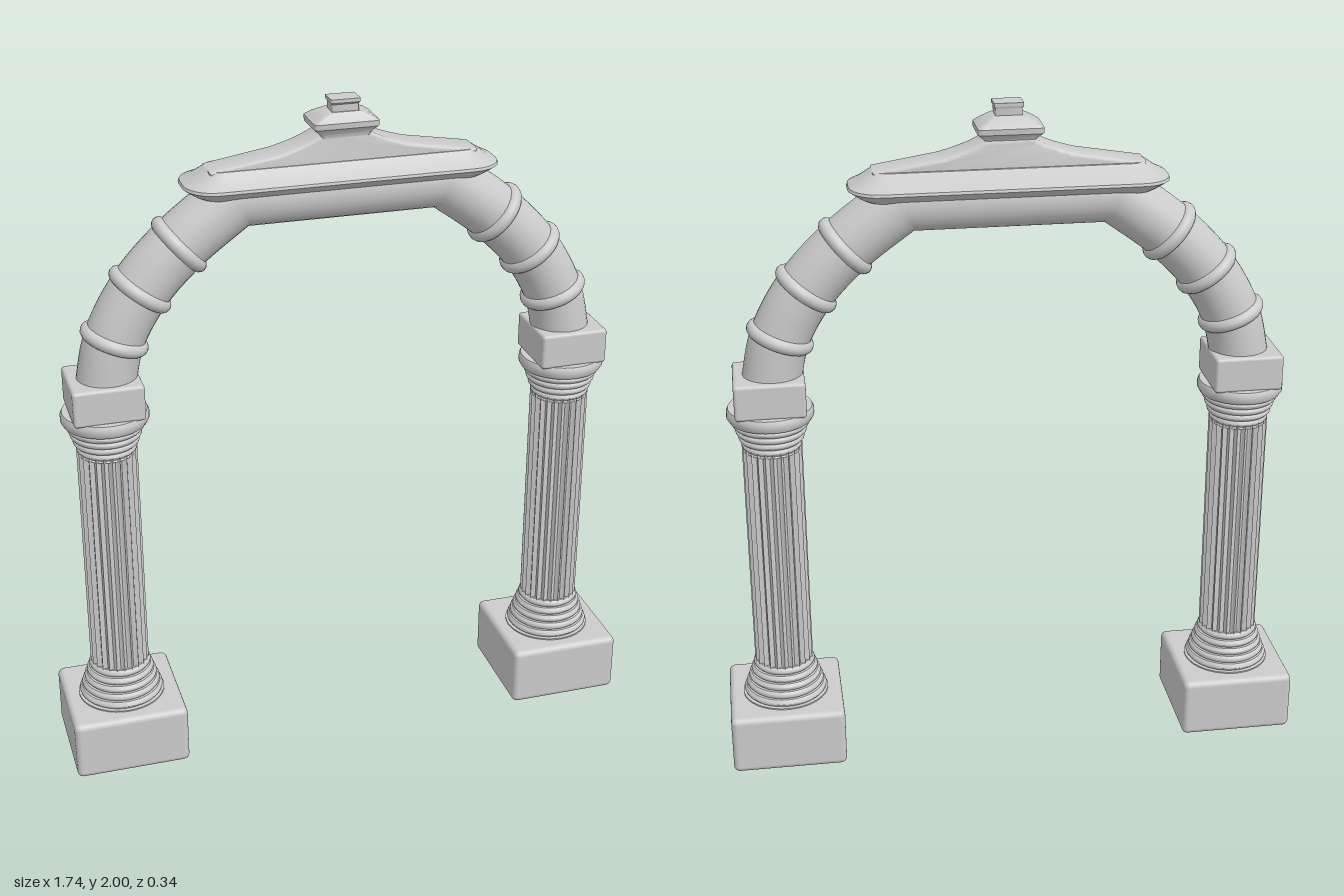
import * as THREE from 'three';
import { toCreasedNormals } from 'three/addons/utils/BufferGeometryUtils.js';
import { RoundedBoxGeometry } from 'three/addons/geometries/RoundedBoxGeometry.js';

const grey = new THREE.MeshStandardMaterial({ color: 0xcccccc });

function add(parent, name, geometry, x = 0, y = 0, z = 0) {
  const mesh = new THREE.Mesh(geometry, grey);
  mesh.name = name;
  mesh.position.set(x, y, z);
  parent.add(mesh);
  return mesh;
}

// Skin a stack of equal-sized rings of Vector3 and close both ends
function loft(rings, crease = 0.6) {
  const n = rings[0].length, pos = [];
  const tri = (...pts) => pts.forEach((p) => pos.push(p.x, p.y, p.z));
  for (let i = 0; i < rings.length - 1; i++) {
    for (let j = 0; j < n; j++) {
      const k = (j + 1) % n, lo = rings[i], hi = rings[i + 1];
      tri(lo[j], hi[j], lo[k]);
      tri(lo[k], hi[j], hi[k]);
    }
  }
  const middle = (r) => r.reduce((s, p) => s.add(p), new THREE.Vector3()).divideScalar(n);
  const first = rings[0], last = rings[rings.length - 1];
  const c0 = middle(first), c1 = middle(last);
  for (let j = 0; j < n; j++) {
    const k = (j + 1) % n;
    tri(c0, first[j], first[k]);
    tri(c1, last[k], last[j]);
  }
  const g = new THREE.BufferGeometry();
  g.setAttribute('position', new THREE.Float32BufferAttribute(pos, 3));
  return toCreasedNormals(g, crease);
}

// Horizontal rounded rectangle with half sizes a, b and corner radius r
function roundedRing([y, a, b, r, cz = 0]) {
  const pts = [], steps = 6;
  [[1, 1], [-1, 1], [-1, -1], [1, -1]].forEach(([sx, sz], q) => {
    for (let i = 0; i <= steps; i++) {
      const t = (q + i / steps) * Math.PI / 2;
      pts.push(new THREE.Vector3(sx * (a - r) + r * Math.cos(t), y, cz + sz * (b - r) + r * Math.sin(t)));
    }
  });
  return pts;
}

function lathe(profile) {
  const g = new THREE.LatheGeometry(profile.map(([r, y]) => new THREE.Vector2(r, y)), 40);
  return toCreasedNormals(g, 0.6);
}

// Fluted shaft: scalloped outline extruded upwards
function flutedShaft(height, radius, flutes) {
  const pts = [], per = 6;
  for (let i = 0; i < flutes * per; i++) {
    const t = (i / (flutes * per)) * Math.PI * 2;
    const r = radius - 0.011 * Math.sin(((i % per) / per) * Math.PI);
    pts.push(new THREE.Vector2(r * Math.cos(t), r * Math.sin(t)));
  }
  const g = new THREE.ExtrudeGeometry(new THREE.Shape(pts), { depth: height, bevelEnabled: false });
  return toCreasedNormals(g.rotateX(-Math.PI / 2), 0.7);
}

// Stack of rounded mouldings between two radii
function mouldings(y0, y1, r0, r1, count, bulge) {
  const profile = [], h = (y1 - y0) / count;
  for (let i = 0; i < count; i++) {
    const r = THREE.MathUtils.lerp(r0, r1, count > 1 ? i / (count - 1) : 0);
    for (let k = 0; k <= 6; k++) {
      profile.push([r - bulge + bulge * Math.sin((k / 6) * Math.PI), y0 + h * (i + k / 6)]);
    }
  }
  return profile;
}

function column(side) {
  const g = new THREE.Group();
  g.name = side > 0 ? 'leftColumn' : 'rightColumn';
  g.position.x = side * 0.7;
  add(g, 'plinth', new RoundedBoxGeometry(0.344, 0.18, 0.344, 4, 0.018), 0, 0.093, 0).scale.y = 0.186 / 0.18;
  add(g, 'columnFoot', lathe([[0, 0.18], [0.13, 0.18], [0.13, 0.19],
    ...mouldings(0.19, 0.305, 0.126, 0.093, 5, 0.008), [0, 0.305]]));
  add(g, 'flutedShaft', flutedShaft(0.73, 0.088, 24), 0, 0.29, 0);
  add(g, 'capital', lathe([[0, 1.005], [0.084, 1.005],
    ...mouldings(1.01, 1.1, 0.088, 0.112, 4, 0.008), [0.12, 1.1], [0.127, 1.112],
    [0.127, 1.128], [0.122, 1.138], [0, 1.138]]));
  add(g, 'impostBlock', new RoundedBoxGeometry(0.205, 0.108, 0.205, 3, 0.01), 0, 1.187, 0);
  return g;
}

function arch() {
  const g = new THREE.Group();
  g.name = 'arch';
  const key = [[-0.695, 1.2], [-0.66, 1.35], [-0.58, 1.49], [-0.465, 1.61], [-0.3, 1.735]];
  const curve = new THREE.CatmullRomCurve3(key.map(([x, y]) => new THREE.Vector3(x, y, 0)));
  const half = curve.getPoints(28);
  const path = [...half, ...half.map((p) => new THREE.Vector3(-p.x, p.y, 0)).reverse()];

  // Round tube with mitred joints
  const rings = path.map((p, i) => {
    const d0 = p.clone().sub(path[Math.max(i - 1, 0)]).normalize();
    const d1 = path[Math.min(i + 1, path.length - 1)].clone().sub(p).normalize();
    const d = d0.clone().add(d1).normalize();
    const stretch = 1 / Math.max(d.dot(i ? d0 : d1), 0.5);
    return Array.from({ length: 32 }, (_, j) => {
      const t = (j / 32) * Math.PI * 2, c = 0.086 * Math.cos(t) * stretch;
      return new THREE.Vector3(p.x - d.y * c, p.y + d.x * c, -0.086 * Math.sin(t));
    });
  });
  add(g, 'archTube', loft(rings, 0.4));

  // Three collars on each arm
  for (const side of [-1, 1]) {
    for (let i = 1; i <= 3; i++) {
      const p = curve.getPoint(i / 4), t = curve.getTangent(i / 4);
      const collar = add(g, 'archCollar', new THREE.TorusGeometry(0.079, 0.021, 14, 40), side * p.x, p.y, 0);
      collar.quaternion.setFromUnitVectors(new THREE.Vector3(0, 0, 1), new THREE.Vector3(side * t.x, t.y, 0));
    }
  }
  return g;
}

function crown() {
  const g = new THREE.Group();
  g.name = 'crown';
  // Eaves: y, half length, half depth, corner radius, z offset
  add(g, 'eaves', loft([
    [1.748, 0.41, 0.075, 0.06], [1.755, 0.425, 0.085, 0.07], [1.778, 0.455, 0.114, 0.09],
    [1.786, 0.452, 0.112, 0.088], [1.8, 0.425, 0.085, 0.07, 0.003], [1.826, 0.385, 0.056, 0.04, 0.008],
  ].map(roundedRing), 0.5));

  // Gable slab with concave slopes
  const shape = new THREE.Shape();
  shape.moveTo(-0.385, 1.8);
  shape.lineTo(-0.385, 1.826);
  shape.lineTo(-0.195, 1.857);
  shape.quadraticCurveTo(-0.11, 1.878, -0.068, 1.905);
  shape.lineTo(0.068, 1.905);
  shape.quadraticCurveTo(0.11, 1.878, 0.195, 1.857);
  shape.lineTo(0.385, 1.826);
  shape.lineTo(0.385, 1.8);
  const gable = new THREE.ExtrudeGeometry(shape, {
    depth: 0.08, bevelThickness: 0.01, bevelSize: 0.01, bevelOffset: -0.01, bevelSegments: 3, curveSegments: 10,
  });
  add(g, 'gable', toCreasedNormals(gable, 0.6), 0, 0, -0.03);

  // Finial: swollen neck and small top block
  add(g, 'finialBase', loft([
    [1.895, 0.068, 0.048, 0.008, 0.014], [1.905, 0.074, 0.05, 0.01, 0.014], [1.922, 0.093, 0.062, 0.012, 0.013],
    [1.938, 0.093, 0.063, 0.012, 0.013], [1.95, 0.075, 0.054, 0.01, 0.015], [1.965, 0.045, 0.036, 0.006, 0.022],
  ].map(roundedRing), 0.5));
  add(g, 'finialTop', loft([
    [1.95, 0.038, 0.028, 0.003, 0.026], [1.985, 0.038, 0.028, 0.003, 0.026],
    [1.99, 0.042, 0.031, 0.003, 0.027], [2, 0.042, 0.031, 0.003, 0.027],
  ].map(roundedRing), 0.4));
  return g;
}

export function createModel() {
  const model = new THREE.Group();
  model.name = 'gardenArch';
  model.add(column(-1), column(1), arch(), crown());
  return model;
}
